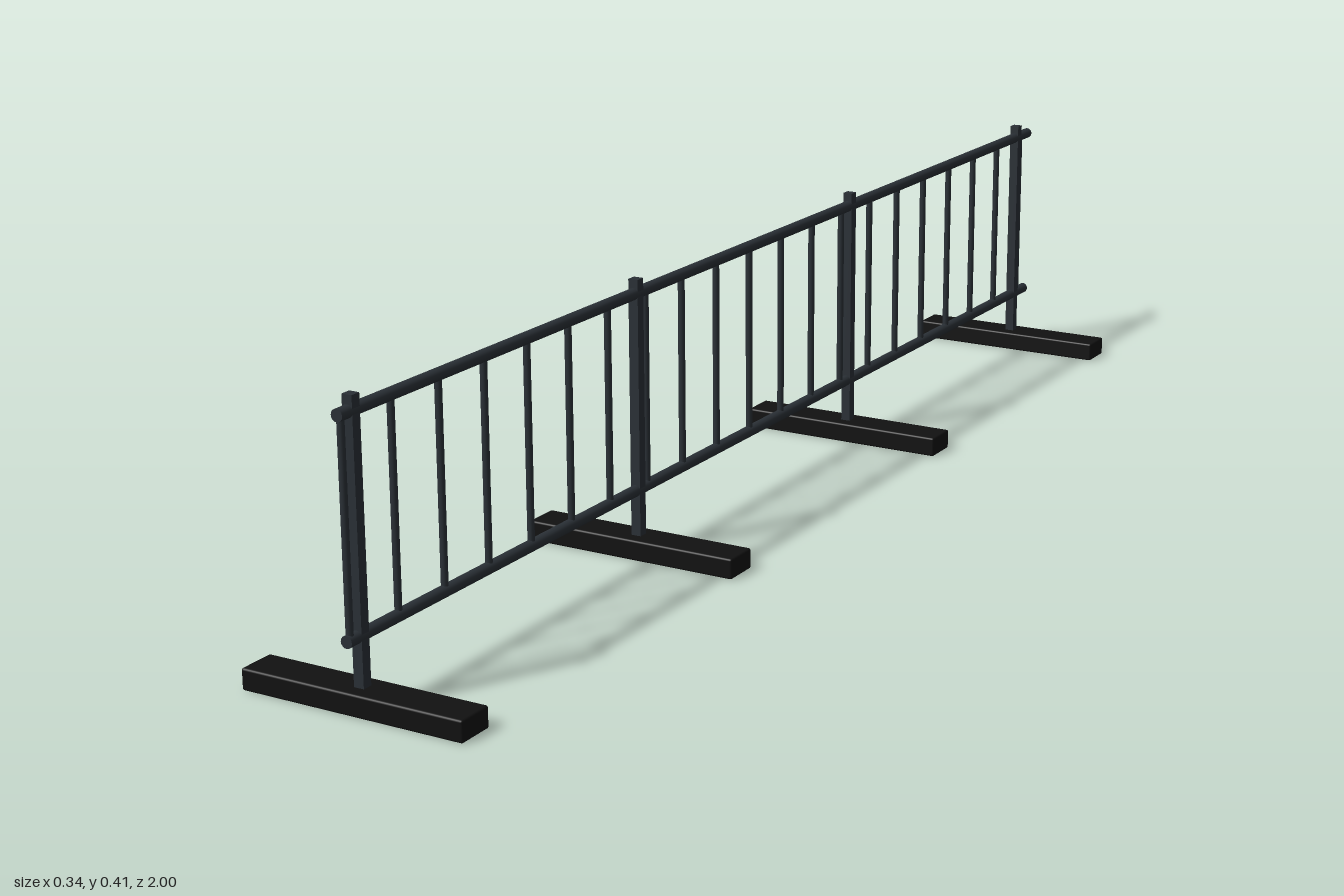
import * as THREE from 'three';
import { RoundedBoxGeometry } from 'three/addons/geometries/RoundedBoxGeometry.js';

export function createModel() {
  const fence = new THREE.Group();
  fence.name = 'barrierFence';

  const steel = new THREE.MeshStandardMaterial({ color: 0x2a3036 });
  steel.name = 'dark steel';
  const rubber = new THREE.MeshStandardMaterial({ color: 0x111111 });
  rubber.name = 'black rubber';

  const add = (name, geometry, material, x, y, z) => {
    const mesh = new THREE.Mesh(geometry, material);
    mesh.name = name;
    mesh.position.set(x, y, z);
    fence.add(mesh);
  };

  // Feet and the square posts standing in them
  const footGeo = new RoundedBoxGeometry(0.336, 0.03, 0.056, 2, 0.003);
  const postGeo = new THREE.BoxGeometry(0.015, 0.385, 0.015);
  for (let i = 0; i < 4; i++) {
    const z = 0.972 - i * 0.641;
    add('foot', footGeo, rubber, 0, 0.015, z);
    add('post', postGeo, steel, 0, 0.2125, z);
  }

  // Round top and bottom rails running the whole length
  const railGeo = new THREE.CylinderGeometry(0.0085, 0.0085, 2, 16);
  railGeo.rotateX(Math.PI / 2);
  const bottomY = 0.097, topY = 0.384;
  add('bottomRail', railGeo, steel, 0, bottomY, 0);
  add('topRail', railGeo, steel, 0, topY, 0);

  // Thin upright bars, evenly spaced between the rails
  const barGeo = new THREE.CylinderGeometry(0.005, 0.005, topY - bottomY, 12);
  for (let i = 0; i < 21; i++) {
    add('uprightBar', barGeo, steel, 0, (topY + bottomY) / 2, 0.993 - i * 0.098);
  }

  return fence;
}
